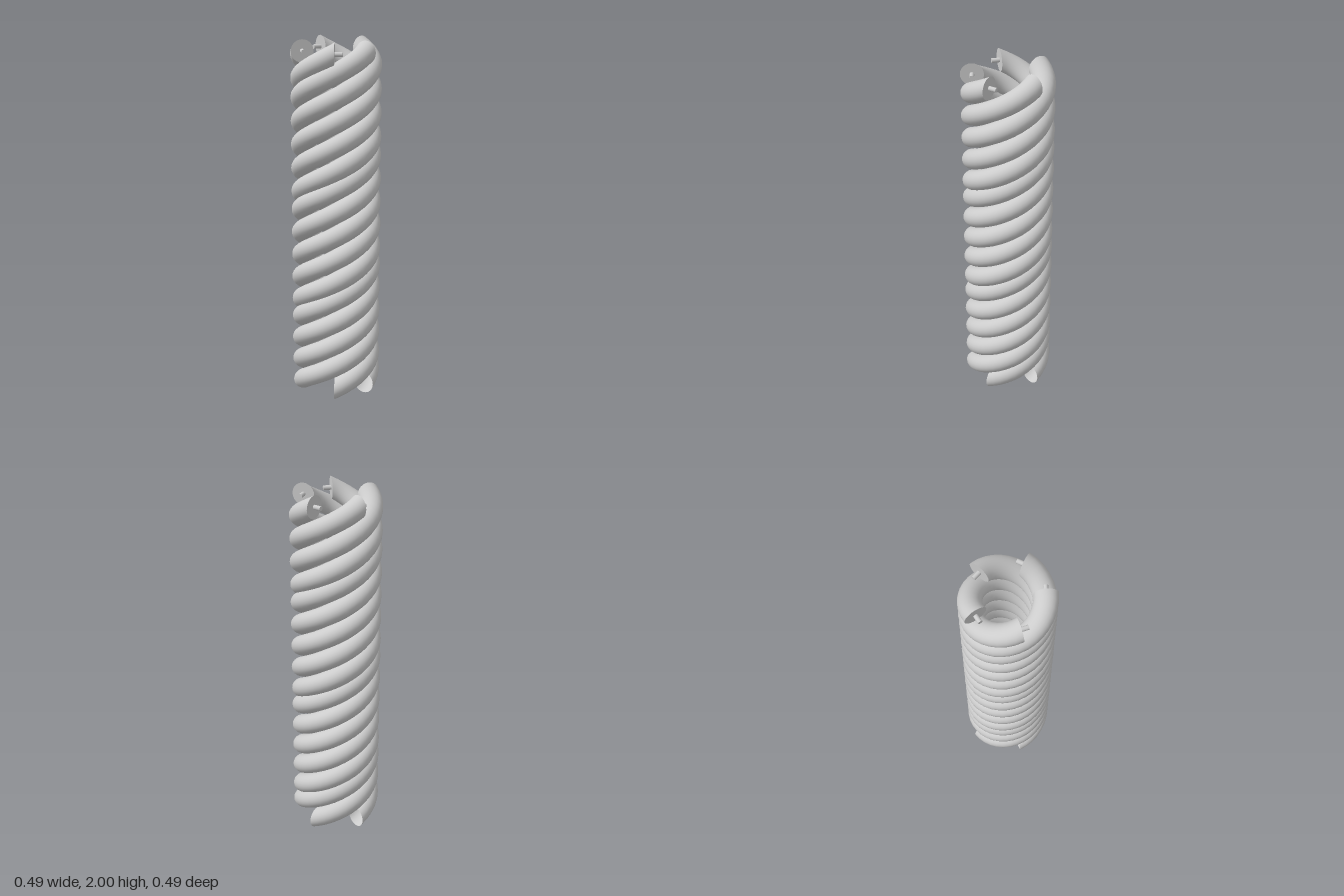
import * as THREE from 'three';
import { mergeVertices } from 'three/addons/utils/BufferGeometryUtils.js';

const COIL_R = 0.185, TUBE_R = 0.062, HEIGHT = 2, TURNS = 3;
const STRANDS = 5, STEP = THREE.MathUtils.degToRad(75);

// Helical tube: a torus wound several times, lifted steadily along its length
function strandGeometry() {
  const sides = 24, steps = 36 * TURNS, rise = HEIGHT - 2 * TUBE_R;
  let geo = new THREE.TorusGeometry(COIL_R, TUBE_R, sides, steps, TURNS * Math.PI * 2);
  const pos = geo.attributes.position;
  for (let i = 0; i < pos.count; i++) {
    const t = (i % (steps + 1)) / steps;
    pos.setZ(i, pos.getZ(i) + TUBE_R + rise * t);
  }
  geo.rotateX(-Math.PI / 2);
  geo.deleteAttribute('uv');
  geo.deleteAttribute('normal');
  geo = mergeVertices(geo, 1e-5);
  geo.computeVertexNormals();
  return geo;
}

export function createModel() {
  const model = new THREE.Group();
  model.name = 'coiledStrands';
  const material = new THREE.MeshStandardMaterial({ color: 0xcccccc, side: THREE.DoubleSide });

  const tubeGeo = strandGeometry();
  const capGeo = new THREE.CircleGeometry(TUBE_R, 24).rotateY(Math.PI);
  const pinGeo = new THREE.CylinderGeometry(0.0125, 0.0125, 0.043, 16).rotateX(Math.PI / 2);
  const topY = HEIGHT - TUBE_R;

  for (let i = 0; i < STRANDS; i++) {
    const strand = new THREE.Group();
    strand.name = 'strand' + (i + 1);
    const add = (name, geo, x = 0, y = 0, z = 0) => {
      const mesh = new THREE.Mesh(geo, material);
      mesh.name = name;
      mesh.position.set(x, y, z);
      strand.add(mesh);
    };
    add('tube', tubeGeo);
    // Closed upper end with a short pin
    add('endCap', capGeo, COIL_R, topY, 0);
    add('pin', pinGeo, COIL_R, topY, -0.0215);
    strand.rotation.y = i * STEP;
    model.add(strand);
  }
  return model;
}
